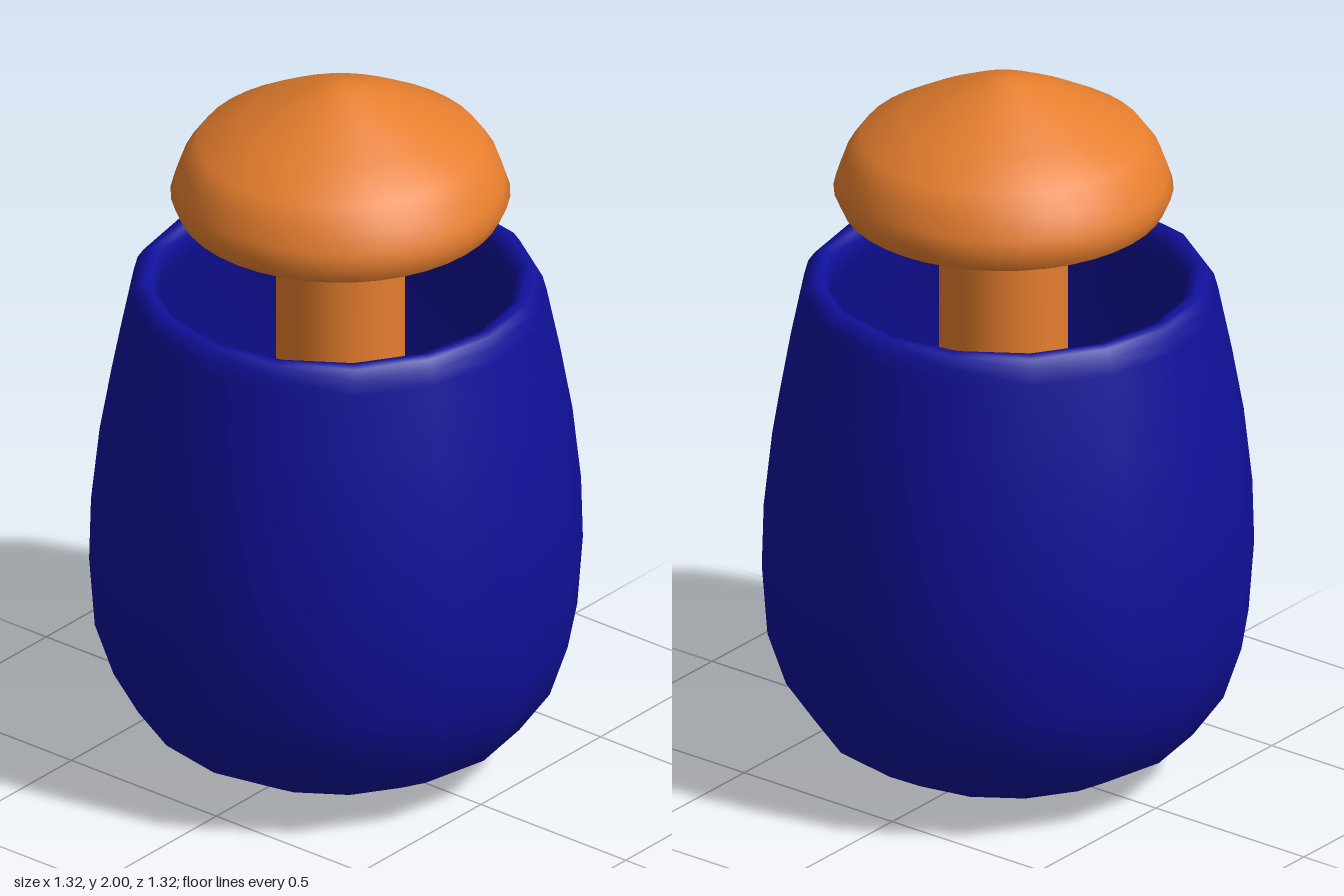
import * as THREE from 'three';

const material = (color) => new THREE.MeshStandardMaterial({ color, side: THREE.DoubleSide });

// Revolve a list of [radius, height] points around the y axis
function turned(name, points, segments, mat) {
  const profile = points.map(([r, y]) => new THREE.Vector2(r, y));
  const mesh = new THREE.Mesh(new THREE.LatheGeometry(profile, segments), mat);
  mesh.name = name;
  return mesh;
}

export function createModel() {
  const model = new THREE.Group();
  model.name = 'potWithPlunger';
  const blue = material(0x10109a);
  const orange = material(0xe67e2e);

  // Hollow pot: up the outside, over the rounded rim, down the inside
  model.add(turned('pot', [
    [0, 0.005], [0.2, 0.02], [0.38, 0.065], [0.51, 0.14], [0.595, 0.26], [0.645, 0.41],
    [0.66, 0.61], [0.655, 0.79], [0.632, 1.0], [0.6, 1.18], [0.563, 1.36], [0.552, 1.4],
    [0.535, 1.425], [0.515, 1.432], [0.495, 1.425], [0.482, 1.4], [0.485, 1.35],
    [0.53, 1.17], [0.56, 1.0], [0.585, 0.79], [0.59, 0.61], [0.575, 0.43], [0.53, 0.3],
    [0.45, 0.2], [0.34, 0.13], [0.18, 0.09], [0, 0.075],
  ], 16, blue));

  // Mushroom handle, set slightly towards the front
  const handle = new THREE.Group();
  handle.name = 'handle';
  handle.position.set(0.004, 0, 0.012);

  // Stem reaching down to the floor of the pot
  handle.add(turned('stem', [[0, 0.08], [0.172, 0.1], [0.172, 0.12], [0.172, 1.65], [0.18, 1.7], [0.205, 1.74]], 32, orange));

  // Cap with a hollow underside
  handle.add(turned('cap', [
    [0, 1.76], [0.2, 1.745], [0.3, 1.74], [0.355, 1.715], [0.385, 1.67], [0.4, 1.64], [0.404, 1.635],
    [0.428, 1.635], [0.432, 1.638], [0.453, 1.685], [0.44, 1.725], [0.42, 1.78], [0.38, 1.835],
    [0.27, 1.898], [0.15, 1.958], [0.06, 1.992], [0.03, 1.998], [0, 2],
  ], 40, orange));

  model.add(handle);
  return model;
}
